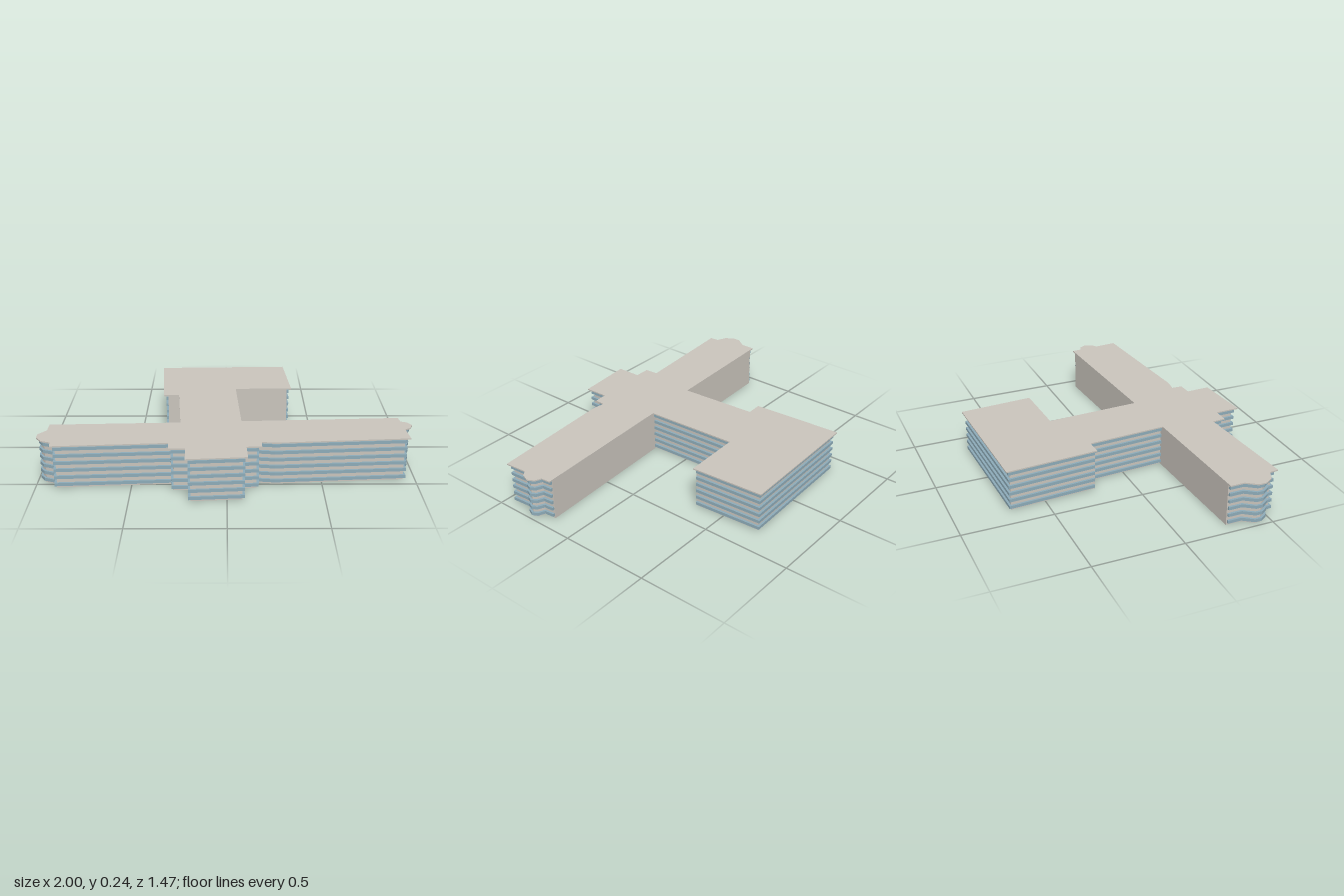
import * as THREE from 'three';

// Roof outline as [x, z], clockwise seen from above
const OUTLINE = [
  [-0.396, -0.716], [0.358, -0.738], [0.385, -0.325], [0.055, -0.315], // rear block
  [0.08, 0.213], [0.94, 0.167],                                        // back of left wing
  [0.945, 0.22], [0.98, 0.235], [1.0, 0.273], [0.983, 0.315], [0.952, 0.337], // left bay
  [0.962, 0.462], [0.25, 0.518], [0.18, 0.508],                        // front of left wing
  [0.178, 0.567], [0.1, 0.572], [0.105, 0.704], [-0.21, 0.73],         // entrance block
  [-0.213, 0.594], [-0.3, 0.594], [-0.305, 0.52],
  [-0.91, 0.563], [-0.915, 0.513], [-0.968, 0.49], [-0.998, 0.445],    // right bay
  [-0.998, 0.4], [-0.957, 0.342], [-0.957, 0.262],
  [-0.252, 0.232], [-0.278, -0.208], [-0.365, -0.205],                 // right of neck
];
// Sides without windows, by the index of their first corner
const BLANK = new Set([2, 4, 27, 29]);

// Moves every side inward and intersects neighbouring sides
function inset(windowSide, blankSide) {
  const n = OUTLINE.length;
  const sides = OUTLINE.map(([x, z], i) => {
    const [x2, z2] = OUTLINE[(i + 1) % n];
    const len = Math.hypot(x2 - x, z2 - z);
    const dx = (x2 - x) / len, dz = (z2 - z) / len;
    const d = BLANK.has(i) ? blankSide : windowSide;
    return { x: x - dz * d, z: z + dx * d, dx, dz };
  });
  return sides.map((b, i) => {
    const a = sides[(i + n - 1) % n];
    const cross = a.dx * b.dz - a.dz * b.dx;
    const t = ((b.x - a.x) * b.dz - (b.z - a.z) * b.dx) / cross;
    return [a.x + a.dx * t, a.z + a.dz * t];
  });
}

// Upright slab over an outline
function slab(name, points, bottom, height, material) {
  const shape = new THREE.Shape(points.map(([x, z]) => new THREE.Vector2(x, -z)));
  const geometry = new THREE.ExtrudeGeometry(shape, { depth: height, bevelEnabled: false });
  geometry.rotateX(-Math.PI / 2);
  geometry.translate(0, bottom, 0);
  const mesh = new THREE.Mesh(geometry, material);
  mesh.name = name;
  return mesh;
}

export function createModel() {
  const concrete = new THREE.MeshStandardMaterial({ color: 0xc9c4bc });
  concrete.name = 'concrete';
  const glass = new THREE.MeshStandardMaterial({ color: 0x8dabb8 });
  glass.name = 'blue glass';

  const group = new THREE.Group();
  group.name = 'building';
  group.add(slab('walls', inset(0.025, 0.003), 0, 0.238, concrete));
  group.add(slab('roof', OUTLINE, 0.237, 0.007, concrete));

  // Projecting window band on each of six floors; hidden behind blank walls
  const bandOutline = inset(0.013, 0.008);
  for (let floor = 0; floor < 6; floor++) {
    group.add(slab(`windowBand${floor + 1}`, bandOutline, 0.012 + floor * 0.04, 0.017, glass));
  }
  return group;
}
